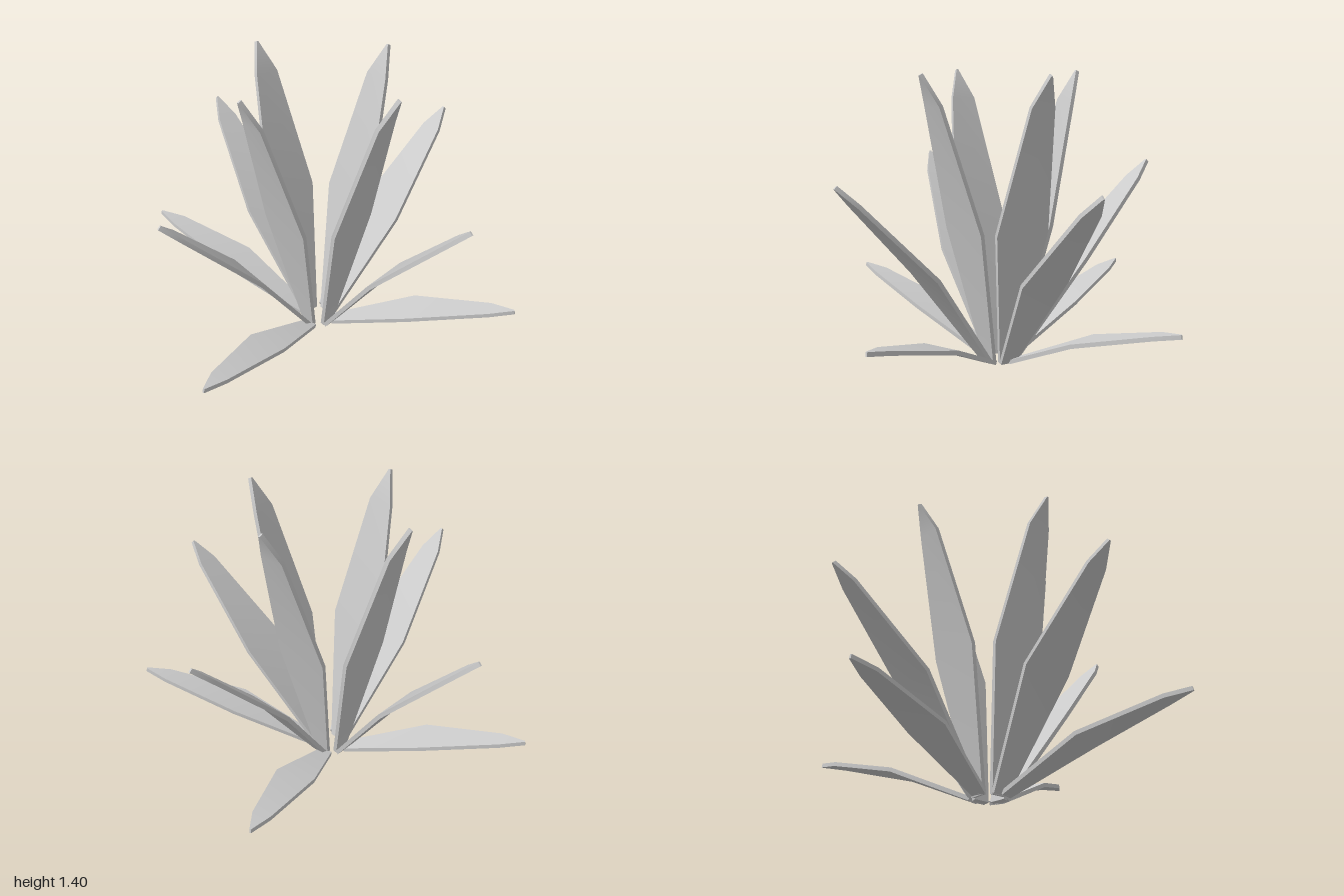
import * as THREE from 'three';

const THICK = 0.01; // half thickness of a leaf

// Each ring: leaf angles (degrees, from +x towards +z) and stations
// along the leaf as [radius, height, half width], root to tip.
const RINGS = [
  { name: 'lowerLeaf', angles: [-15.7, 83.2, 173.6, 261.3],
    stations: [[0.085, 0.012, 0.035], [0.485, 0.195, 0.095], [0.87, 0.3, 0.043], [0.985, 0.322, 0.004]] },
  { name: 'middleLeaf', angles: [6, 104.8, 195, 283.5],
    stations: [[0.08, 0.01, 0.04], [0.42, 0.485, 0.12], [0.765, 0.85, 0.05], [0.85, 0.935, 0.004]] },
  { name: 'upperLeaf', angles: [4, 102, 192, 282],
    stations: [[0.062, 0.007, 0.04], [0.205, 0.67, 0.137], [0.37, 1.255, 0.06], [0.435, 1.395, 0.004]] },
];

// Flat slab leaf along +x: four lengthwise strips with their own vertices, so
// the bend is smooth while the rim stays sharp, plus two end caps.
function leafGeometry(stations) {
  const corners = [[-1, 1], [1, 1], [1, -1], [-1, -1]]; // [side, top or bottom]
  const last = stations.length - 1;
  const pos = [], index = [];

  const addPoint = (i, [side, up]) => {
    const [r, y, w] = stations[i];
    const a = stations[Math.max(i - 1, 0)], b = stations[Math.min(i + 1, last)];
    const len = Math.hypot(b[0] - a[0], b[1] - a[1]);
    const nx = -(b[1] - a[1]) / len, ny = (b[0] - a[0]) / len;
    pos.push(r + up * THICK * nx, y + up * THICK * ny, side * w);
  };

  for (let k = 0; k < 4; k++) {
    const start = pos.length / 3;
    for (let i = 0; i <= last; i++) {
      addPoint(i, corners[k]);
      addPoint(i, corners[(k + 1) % 4]);
    }
    for (let i = 0; i < last; i++) {
      const a = start + i * 2;
      index.push(a, a + 1, a + 2, a + 1, a + 3, a + 2);
    }
  }
  for (const i of [0, last]) {
    const c = pos.length / 3;
    corners.forEach((corner) => addPoint(i, corner));
    if (i === 0) index.push(c, c + 2, c + 1, c, c + 3, c + 2);
    else index.push(c, c + 1, c + 2, c, c + 2, c + 3);
  }

  const geo = new THREE.BufferGeometry();
  geo.setAttribute('position', new THREE.Float32BufferAttribute(pos, 3));
  geo.setIndex(index);
  geo.computeVertexNormals();
  return geo;
}

export function createModel() {
  const plant = new THREE.Group();
  plant.name = 'plant';
  const material = new THREE.MeshStandardMaterial({ color: 0xcccccc });

  for (const { name, angles, stations } of RINGS) {
    const geo = leafGeometry(stations);
    angles.forEach((deg, i) => {
      const leaf = new THREE.Mesh(geo, material);
      leaf.name = name + (i + 1);
      leaf.rotation.y = -THREE.MathUtils.degToRad(deg);
      leaf.position.set(0.01, 0, -0.005);
      plant.add(leaf);
    });
  }
  return plant;
}
